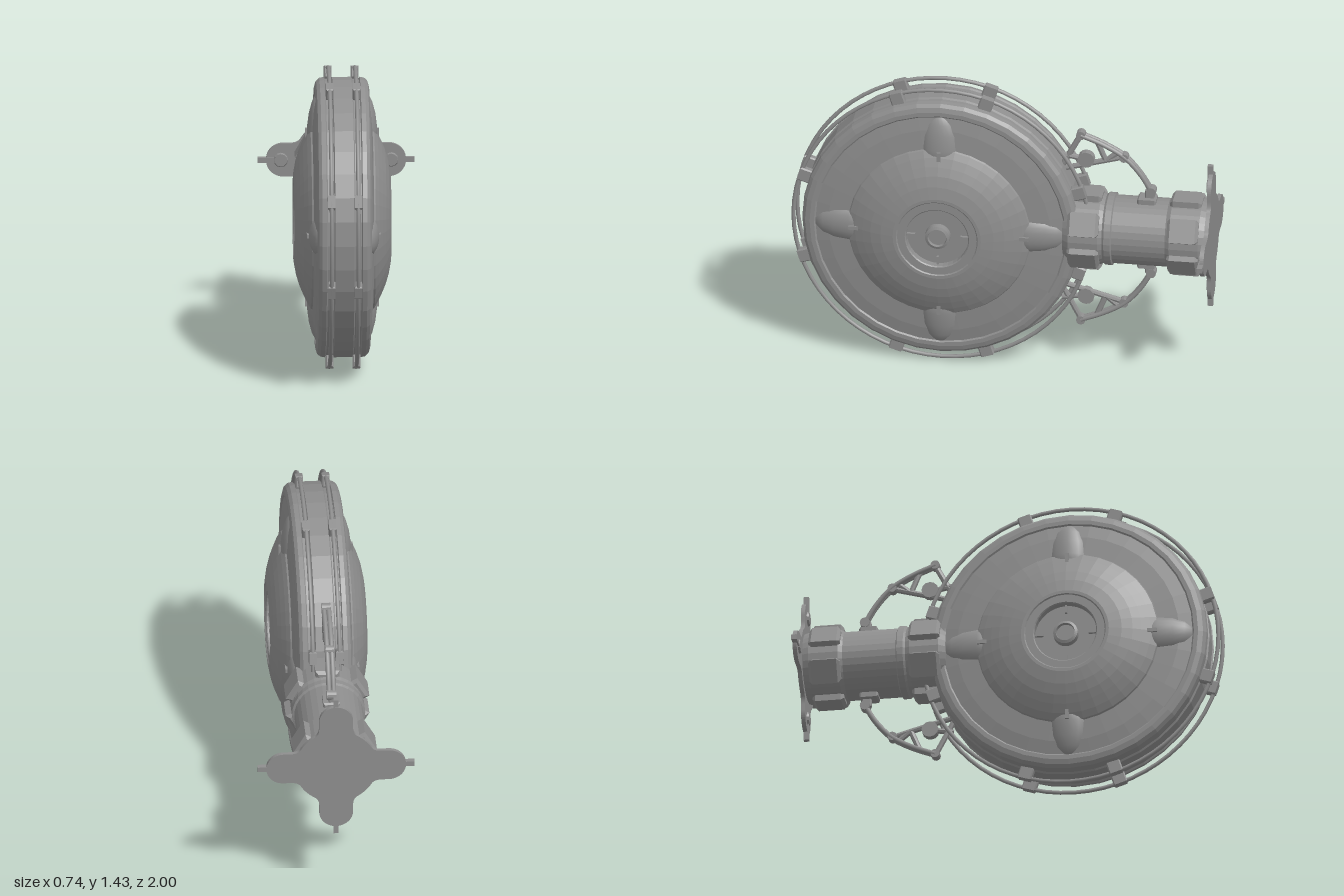
import * as THREE from 'three';

const mat = new THREE.MeshStandardMaterial({ color: 0x8e8e8e, flatShading: true });
const smooth = new THREE.MeshStandardMaterial({ color: 0x8e8e8e });
const AXIS_Y = 0.716, DISC_Z = 0.284;

function add(parent, name, geo, x = 0, y = 0, z = 0, m = mat) {
  const mesh = new THREE.Mesh(geo, m);
  mesh.name = name;
  mesh.position.set(x, y, z);
  parent.add(mesh);
  return mesh;
}

// Straight round bar between two points
function bar(parent, name, a, b, r) {
  const curve = new THREE.LineCurve3(a, b);
  return add(parent, name, new THREE.TubeGeometry(curve, 1, r, 8, false));
}

const lathe = (pts, seg) => new THREE.LatheGeometry(pts.map(p => new THREE.Vector2(p[0], p[1])), seg);

// Bevelled block centred on the origin
function block(w, h, d, b) {
  const x = w / 2 - b, y = h / 2 - b;
  const s = new THREE.Shape([[-x, -y], [x, -y], [x, y], [-x, y]].map(p => new THREE.Vector2(...p)));
  return new THREE.ExtrudeGeometry(s, { depth: d - 2 * b, bevelThickness: b, bevelSize: b, bevelSegments: 1 })
    .translate(0, 0, -d / 2 + b);
}

function createDisc() {
  const disc = new THREE.Group();
  disc.name = 'disc';
  disc.position.set(0, AXIS_Y, DISC_Z);

  // Half profile from the rim to the recessed hub: radius, sideways offset
  const half = [[0.661, 0.045], [0.653, 0.05], [0.653, 0.08], [0.661, 0.085], [0.657, 0.106], [0.643, 0.121],
    [0.62, 0.128], [0.6, 0.128], [0.593, 0.122], [0.53, 0.134], [0.435, 0.142], [0.43, 0.15], [0.4, 0.167],
    [0.36, 0.186], [0.32, 0.203], [0.27, 0.218], [0.21, 0.229], [0.195, 0.229], [0.19, 0.224], [0.153, 0.224],
    [0.148, 0.219], [0.148, 0.185], [0.06, 0.185], [0.058, 0.215], [0.045, 0.22], [0.042, 0.205], [0, 0.205]];
  const full = [...half.map(([r, x]) => [r, -x]).reverse(), ...half];
  add(disc, 'discBody', lathe(full, 36).rotateZ(-Math.PI / 2));

  const podGeo = lathe([[0, 0.36], [0.065, 0.362], [0.086, 0.385], [0.093, 0.43], [0.086, 0.5],
    [0.068, 0.555], [0.04, 0.592], [0, 0.605]], 20).rotateY(Math.PI / 2).scale(0.58, 1, 1);
  for (const side of [-1, 1]) {
    for (let i = 0; i < 4; i++) {
      const spoke = new THREE.Group();
      spoke.name = 'facePod';
      spoke.rotation.x = i * Math.PI / 2;
      disc.add(spoke);
      // Bullet pod leaning inwards, its small fin, and a tick inside the hub recess
      const pod = add(spoke, 'pod', podGeo, side * 0.142, 0, 0, smooth);
      pod.rotation.z = side * 0.07;
      add(spoke, 'podFin', new THREE.BoxGeometry(0.03, 0.065, 0.018), side * 0.16, 0.397, 0);
      add(spoke, 'hubTick', new THREE.BoxGeometry(0.02, 0.04, 0.01), side * 0.19, 0.128, 0);
    }
    // Rail hoop round the rim
    add(disc, 'railHoop', new THREE.TorusGeometry(0.706, 0.01, 8, 64).rotateY(Math.PI / 2), side * 0.063, 0, 0, smooth);
    // Clips in pairs either side of each quarter
    for (let i = 0; i < 8; i++) {
      const clip = new THREE.Group();
      clip.name = 'railClip';
      clip.rotation.x = Math.floor(i / 2) * Math.PI / 2 + (i % 2 ? 1 : -1) * Math.PI / 10;
      disc.add(clip);
      add(clip, 'clipBlock', block(0.036, 0.06, 0.068, 0.006), side * 0.063, 0.685, 0);
    }
  }
  return disc;
}

function createNeck() {
  const neck = new THREE.Group();
  neck.name = 'neck';
  neck.position.y = AXIS_Y;
  // Radius along the length, back to front
  const profile = [[0, -0.985], [0.165, -0.985], [0.175, -0.95], [0.175, -0.81], [0.163, -0.79], [0.163, -0.535],
    [0.173, -0.53], [0.173, -0.5], [0.165, -0.49], [0.173, -0.47], [0.173, -0.33], [0.15, -0.3], [0, -0.3]];
  add(neck, 'neckTube', lathe(profile, 32).rotateX(Math.PI / 2));
  // Six clamp pads on each collar
  for (const z of [-0.4, -0.875]) {
    for (let i = 0; i < 6; i++) {
      const pad = new THREE.Group();
      pad.name = 'clampPad';
      pad.rotation.z = i * Math.PI / 3;
      neck.add(pad);
      add(pad, 'padBlock', block(0.115, 0.05, 0.15, 0.014), 0, 0.17, z);
    }
  }
  return neck;
}

function createEndPlate() {
  const plate = new THREE.Group();
  plate.name = 'endPlate';
  plate.position.set(0, AXIS_Y, -1);
  // Round plate with four rounded lobes
  const shape = new THREE.Shape();
  const R = 0.195, w = 0.08, c = 0.25, t = 0.54;
  for (let i = 0; i < 4; i++) {
    const a = i * Math.PI / 2;
    const p = (x, y) => [x * Math.cos(a) - y * Math.sin(a), x * Math.sin(a) + y * Math.cos(a)];
    const s = [R * Math.cos(t), R * Math.sin(t)];
    if (i === 0) shape.moveTo(...p(s[0], -s[1]));
    shape.quadraticCurveTo(...p(0.18, -w), ...p(0.215, -w));
    shape.lineTo(...p(c, -w));
    shape.absarc(...p(c, 0), w, a - Math.PI / 2, a + Math.PI / 2, false);
    shape.lineTo(...p(0.215, w));
    shape.quadraticCurveTo(...p(0.18, w), ...p(s[0], s[1]));
    shape.absarc(0, 0, R, a + t, a + Math.PI / 2 - t, false);
  }
  add(plate, 'lobedPlate', new THREE.ExtrudeGeometry(shape, { depth: 0.02, bevelEnabled: false, curveSegments: 12 }));
  for (let i = 0; i < 4; i++) {
    const lobe = new THREE.Group();
    lobe.name = 'lobeFitting';
    lobe.rotation.z = i * Math.PI / 2;
    plate.add(lobe);
    add(lobe, 'lobeButton', new THREE.CylinderGeometry(0.03, 0.036, 0.012, 12).rotateX(Math.PI / 2), 0.26, 0, 0.024);
    add(lobe, 'lobePeg', new THREE.BoxGeometry(0.085, 0.024, 0.026), 0.328, 0, 0.014);
  }
  return plate;
}

function createArm() {
  const arm = new THREE.Group();
  arm.name = 'braceArm';
  const P = (z, y) => new THREE.Vector3(0, y, z);
  // Pair of bowed tubes from the tip down to the foot on the neck
  const bow = new THREE.CatmullRomCurve3([P(-0.37, 0.49), P(-0.48, 0.445), P(-0.58, 0.385), P(-0.655, 0.3), P(-0.705, 0.215)]);
  for (const x of [-0.011, 0.011]) {
    add(arm, 'bowTube', new THREE.TubeGeometry(bow, 20, 0.012, 8), x, 0, 0, smooth);
  }
  // Triangulated frame
  const bars = [[P(-0.37, 0.49), P(-0.275, 0.31)], [P(-0.575, 0.385), P(-0.27, 0.3)],
    [P(-0.445, 0.462), P(-0.485, 0.365)], [P(-0.55, 0.41), P(-0.49, 0.36)], [P(-0.395, 0.36), P(-0.28, 0.38)]];
  for (const [a, b] of bars) bar(arm, 'frameBar', a, b, 0.014);
  // Joints: z, height, radius, width
  for (const [z, y, r, w] of [[-0.37, 0.49, 0.022, 0.04], [-0.575, 0.385, 0.022, 0.04],
    [-0.395, 0.362, 0.04, 0.035], [-0.705, 0.215, 0.024, 0.045]]) {
    add(arm, 'joint', new THREE.CylinderGeometry(r, r, w, 12).rotateZ(Math.PI / 2), 0, y, z);
  }
  // Foot on the neck
  add(arm, 'foot', block(0.08, 0.03, 0.09, 0.008), 0, 0.167, -0.685);
  add(arm, 'footLug', block(0.03, 0.05, 0.045, 0.005), 0, 0.195, -0.698);
  return arm;
}

export function createModel() {
  const model = new THREE.Group();
  model.name = 'discOnNeck';
  model.add(createDisc(), createNeck(), createEndPlate());
  // Brace arms above and below the neck
  for (const turn of [0, Math.PI]) {
    const arm = createArm();
    arm.position.y = AXIS_Y;
    arm.rotation.z = turn;
    model.add(arm);
  }
  return model;
}
